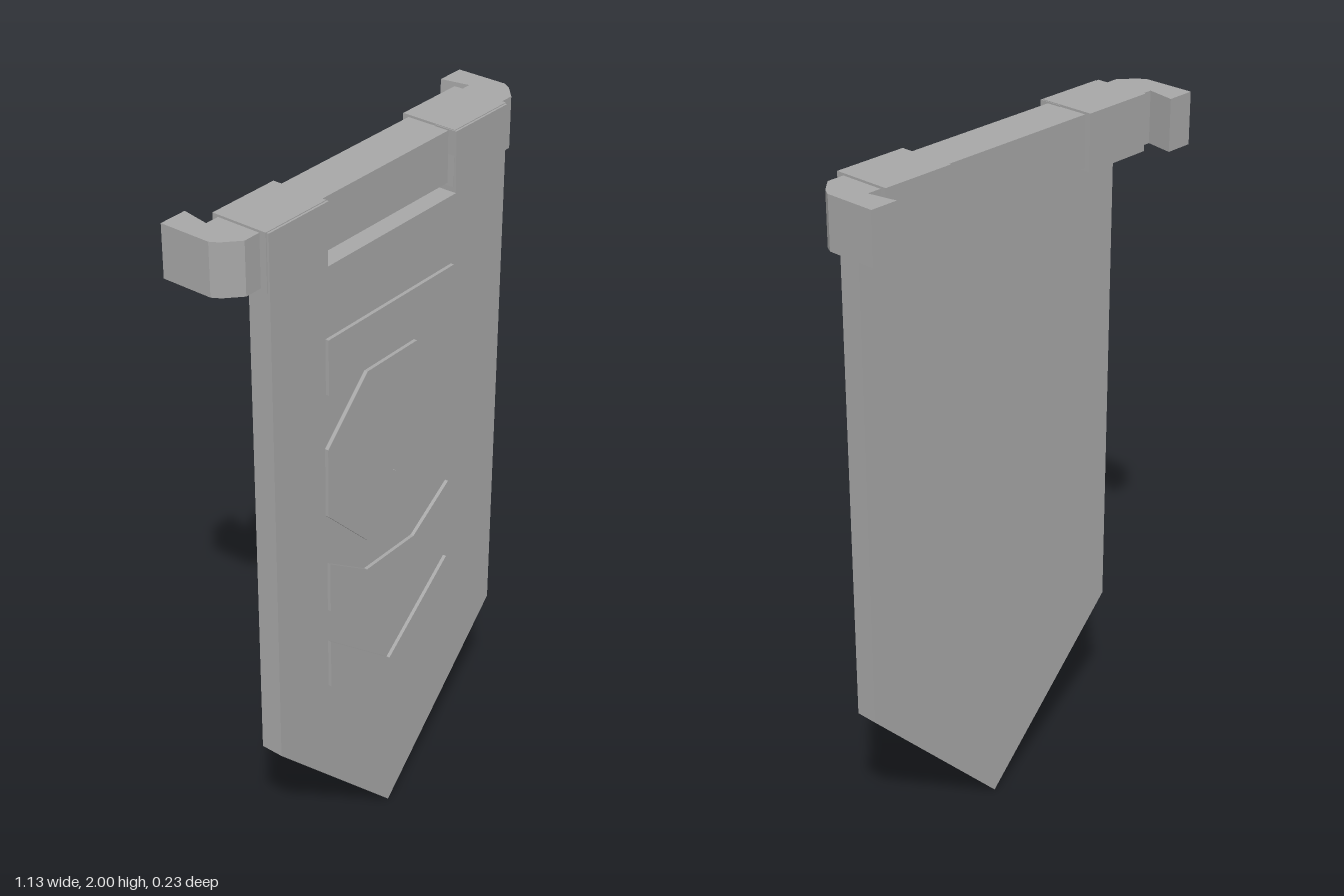
import * as THREE from 'three';

const stone = new THREE.MeshStandardMaterial({ color: 0xa8a8a8 });
stone.name = 'stone grey';

const points = (pts) => pts.map(([x, y]) => new THREE.Vector2(x, y));

// Closes a half outline, listed top to bottom on the +x side, by mirroring it.
const mirrored = (half) => [
  ...half,
  ...half.filter(([x]) => x !== 0).reverse().map(([x, y]) => [-x, y]),
];

// Prism with an XY outline between two z values.
function plate(name, outline, z0, z1, hole) {
  const shape = new THREE.Shape(points(outline));
  if (hole) shape.holes.push(new THREE.Path(points(hole)));
  const geometry = new THREE.ExtrudeGeometry(shape, { depth: z1 - z0, bevelEnabled: false });
  geometry.translate(0, 0, z0);
  const mesh = new THREE.Mesh(geometry, stone);
  mesh.name = name;
  return mesh;
}

export function createModel() {
  const group = new THREE.Group();
  group.name = 'hangingBanner';
  const BACK = 0.05, FIELD = 0.105, FRONT = 0.115;

  // Pointed cloth with two tabs at the top, and a raised border around the field
  const cloth = mirrored([[0.25, 1.83], [0.245, 1.998], [0.457, 1.998], [0.457, 0.465], [0, 0]]);
  const field = mirrored([[0.35, 1.73], [0.35, 0.51], [0, 0.16]]);
  group.add(plate('cloth', cloth, BACK, FIELD));
  group.add(plate('border', cloth, FIELD, FRONT, field));

  // Raised emblems on the field
  group.add(plate('topEmblem',
    mirrored([[0.25, 1.63], [0.25, 1.475], [0.1, 1.57]]), FIELD, FRONT));
  group.add(plate('upperChevron',
    mirrored([[0.1, 0.87], [0.25, 0.97], [0.25, 0.82], [0, 0.665]]), FIELD, FRONT));
  group.add(plate('lowerChevron',
    mirrored([[0, 0.515], [0.25, 0.72], [0.25, 0.57], [0, 0.31]]), FIELD, FRONT));

  // Octagonal medallion with a sunken crescent
  const octagon = mirrored([[0.1, 1.475], [0.255, 1.32], [0.255, 1.12], [0.1, 0.965]]);
  const crescent = [
    [-0.1, 1.4], [-0.1, 1.24], [0.02, 1.12], [0.18, 1.12],
    [0.08, 1.025], [-0.08, 1.02], [-0.2, 1.12], [-0.2, 1.3],
  ];
  group.add(plate('medallion', octagon, FIELD, FRONT, crescent));

  // Crossbar: plan outline (x, z) with chamfered ends that hook backwards
  const bar = plate('crossbar', mirrored([
    [0.51, 0.09], [0.552, 0.052], [0.565, 0.03], [0.565, -0.115], [0.485, -0.115], [0.5, -0.035],
  ]), 0, 0.142);
  bar.geometry.rotateX(Math.PI / 2);
  bar.position.y = 1.994;
  group.add(bar);

  // Straps that wrap the tabs around the crossbar
  for (const [name, side] of [['leftStrap', 1], ['rightStrap', -1]]) {
    const strap = new THREE.Mesh(new THREE.BoxGeometry(0.213, 0.155, 0.161), stone);
    strap.name = name;
    strap.position.set(side * 0.3535, 1.9225, 0.0285);
    group.add(strap);
  }
  return group;
}
